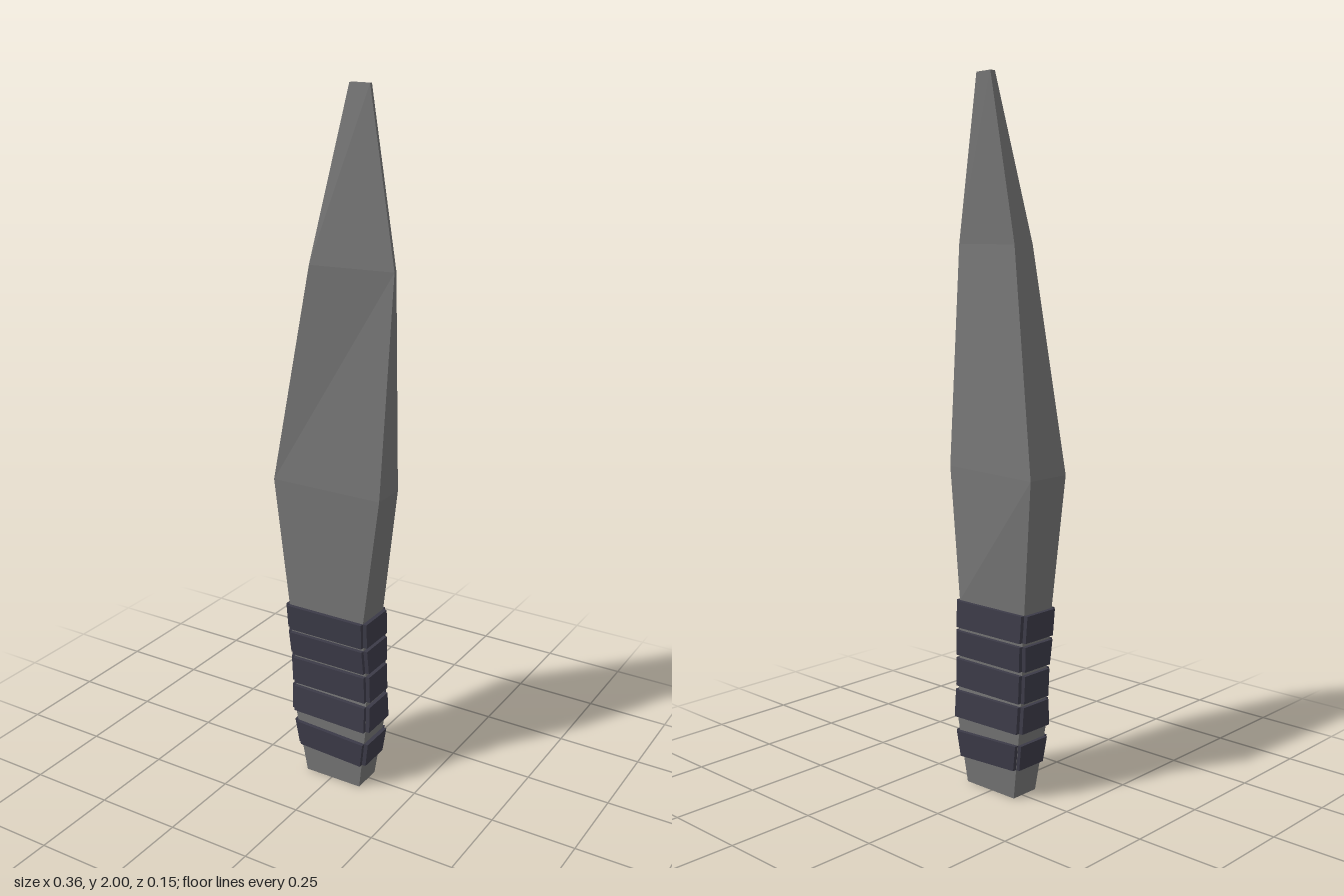
import * as THREE from 'three';

// Lofts four-cornered rings (front left, front right, back right, back left) with capped ends
function loft(rings) {
  const pos = [];
  const quad = (a, b, c, d) => [a, b, c, a, c, d].forEach((p) => pos.push(...p));
  for (let r = 0; r < rings.length - 1; r++) {
    for (let i = 0; i < 4; i++) {
      const j = (i + 1) % 4;
      quad(rings[r][i], rings[r][j], rings[r + 1][j], rings[r + 1][i]);
    }
  }
  const low = rings[0], top = rings[rings.length - 1];
  quad(low[3], low[2], low[1], low[0]);
  quad(top[0], top[1], top[2], top[3]);
  const g = new THREE.BufferGeometry();
  g.setAttribute('position', new THREE.Float32BufferAttribute(pos, 3));
  g.computeVertexNormals();
  return g;
}

// One cross-section: low-x edge, high-x edge, then front and back depth at each edge
const ring = ([y, x0, x1, f0, f1, b0, b1]) => [[x0, y, f0], [x1, y, f1], [x1, y, b1], [x0, y, b0]];

const GRIP = [
  [0, -0.085, 0.095, 0.055, 0.055, -0.035, -0.035],
  [0.2, -0.118, 0.12, 0.063, 0.063, -0.05, -0.05],
  [0.33, -0.124, 0.115, 0.05, 0.05, -0.046, -0.046],
  [0.46, -0.132, 0.109, 0.06, 0.06, -0.053, -0.053],
  [0.54, -0.135, 0.11, 0.065, 0.065, -0.049, -0.049],
];
const BLADE = [
  [0.92, -0.18, 0.16, 0.068, 0.068, -0.075, -0.035],
  [1.54, -0.06, 0.178, 0.065, 0.033, -0.008, 0.023],
  [2, 0.03, 0.09, 0.012, 0.012, -0.006, 0.003],
];

// Grip cross-section at any height
function gripAt(y) {
  let k = 0;
  while (k < GRIP.length - 2 && GRIP[k + 1][0] < y) k++;
  const t = (y - GRIP[k][0]) / (GRIP[k + 1][0] - GRIP[k][0]);
  return ring(GRIP[k].map((v, i) => v + (GRIP[k + 1][i] - v) * t));
}

export function createModel() {
  const group = new THREE.Group();
  const stone = new THREE.MeshStandardMaterial({ color: 0x737373, flatShading: true });
  stone.name = 'grey stone';
  const cloth = new THREE.MeshStandardMaterial({ color: 0x3b3a47, flatShading: true });
  cloth.name = 'dark wrapping';

  const add = (parent, name, rings, material) => {
    const mesh = new THREE.Mesh(loft(rings), material);
    mesh.name = name;
    parent.add(mesh);
  };

  // Grip and blade share the joining section
  add(group, 'grip', GRIP.map(ring), stone);
  add(group, 'blade', [GRIP[4], ...BLADE].map(ring), stone);

  // Wrapped bands: a plate on every side of the grip, [bottom, top, tilt]
  const sides = ['front', 'left', 'back', 'right'];
  const normals = [[0, 1], [1, 0], [0, -1], [-1, 0]];
  const thick = 0.012;
  const bands = [[0.085, 0.16, -0.05], [0.2, 0.277, -0.02], [0.29, 0.37, 0], [0.382, 0.454, 0], [0.465, 0.541, 0]];
  bands.forEach(([low, top, tilt], n) => {
    const band = new THREE.Group();
    band.name = `wrapBand${n + 1}`;
    sides.forEach((side, i) => {
      const [nx, nz] = normals[i];
      const plateRing = (y) => {
        const s = gripAt(y);
        const corner = (p, d) => [p[0] + nx * d, p[1] + p[0] * tilt, p[2] + nz * d];
        const a = s[i], b = s[(i + 1) % 4];
        return [corner(a, thick), corner(b, thick), corner(b, -0.003), corner(a, -0.003)];
      };
      add(band, `${side}Wrap`, [plateRing(low), plateRing(top)], cloth);
    });
    group.add(band);
  });
  return group;
}
